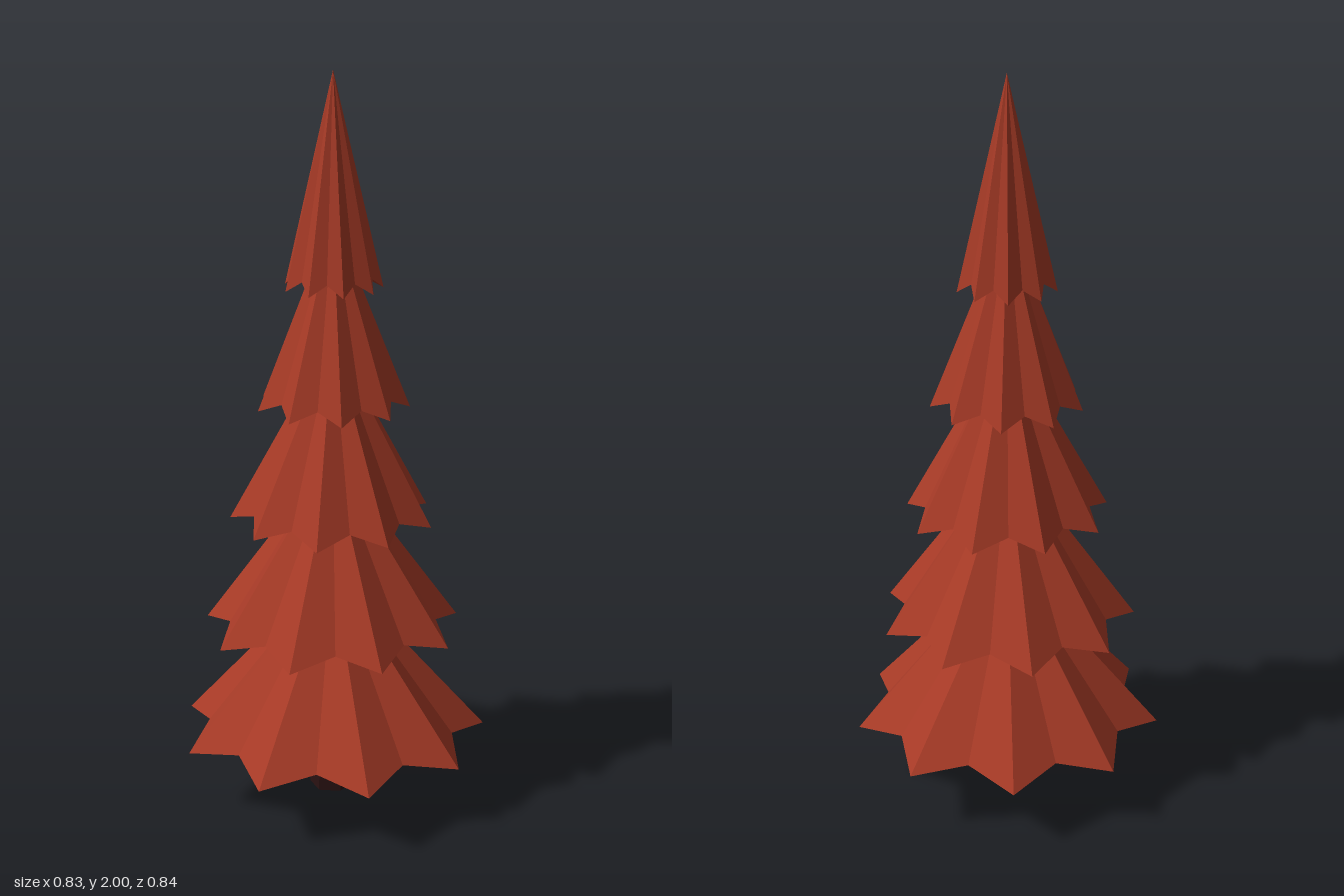
import * as THREE from 'three';

const POINTS = 9;

// One tier of branches: a star-shaped skirt with a shallow hollow underside
function tierGeometry({ radius, y, apex, turn }) {
  const rim = [];
  for (let i = 0; i < POINTS * 2; i++) {
    const isNotch = i % 2 === 1;
    const a = THREE.MathUtils.degToRad(turn + (i * 180) / POINTS);
    const r = isNotch ? radius * 0.81 : radius;
    rim.push([Math.cos(a) * r, y + (isNotch ? 0.03 : 0), Math.sin(a) * r]);
  }
  const top = [0, apex, 0];
  const hollow = [0, y + 0.07, 0];
  const positions = [];
  rim.forEach((p, i) => {
    const q = rim[(i + 1) % rim.length];
    positions.push(...top, ...q, ...p); // outer slope
    positions.push(...hollow, ...p, ...q); // underside
  });
  const geometry = new THREE.BufferGeometry();
  geometry.setAttribute('position', new THREE.Float32BufferAttribute(positions, 3));
  geometry.computeVertexNormals();
  return geometry;
}

export function createModel() {
  const model = new THREE.Group();
  model.name = 'tree';

  const foliage = new THREE.MeshStandardMaterial({ color: 0xa63a26 });
  foliage.name = 'rust foliage';
  foliage.flatShading = true;
  const bark = new THREE.MeshStandardMaterial({ color: 0x2a1212 });
  bark.name = 'dark bark';
  bark.flatShading = true;

  // Six-sided trunk, running up into the lowest tier
  const trunk = new THREE.Mesh(new THREE.CylinderGeometry(0.053, 0.06, 0.4, 6), bark);
  trunk.name = 'trunk';
  trunk.position.set(0.005, 0.2, 0);
  model.add(trunk);

  // Five tiers, each smaller and turned against the one below
  const tiers = [
    { radius: 0.425, y: 0.175, apex: 0.655, turn: 21.5 },
    { radius: 0.352, y: 0.49, apex: 0.98, turn: 13 },
    { radius: 0.277, y: 0.805, apex: 1.31, turn: 3 },
    { radius: 0.205, y: 1.12, apex: 1.63, turn: -12 },
    { radius: 0.132, y: 1.44, apex: 2, turn: 22.5 },
  ];
  tiers.forEach((tier, i) => {
    const mesh = new THREE.Mesh(tierGeometry(tier), foliage);
    mesh.name = `branchTier${i + 1}`;
    mesh.position.x = 0.008;
    model.add(mesh);
  });

  return model;
}
